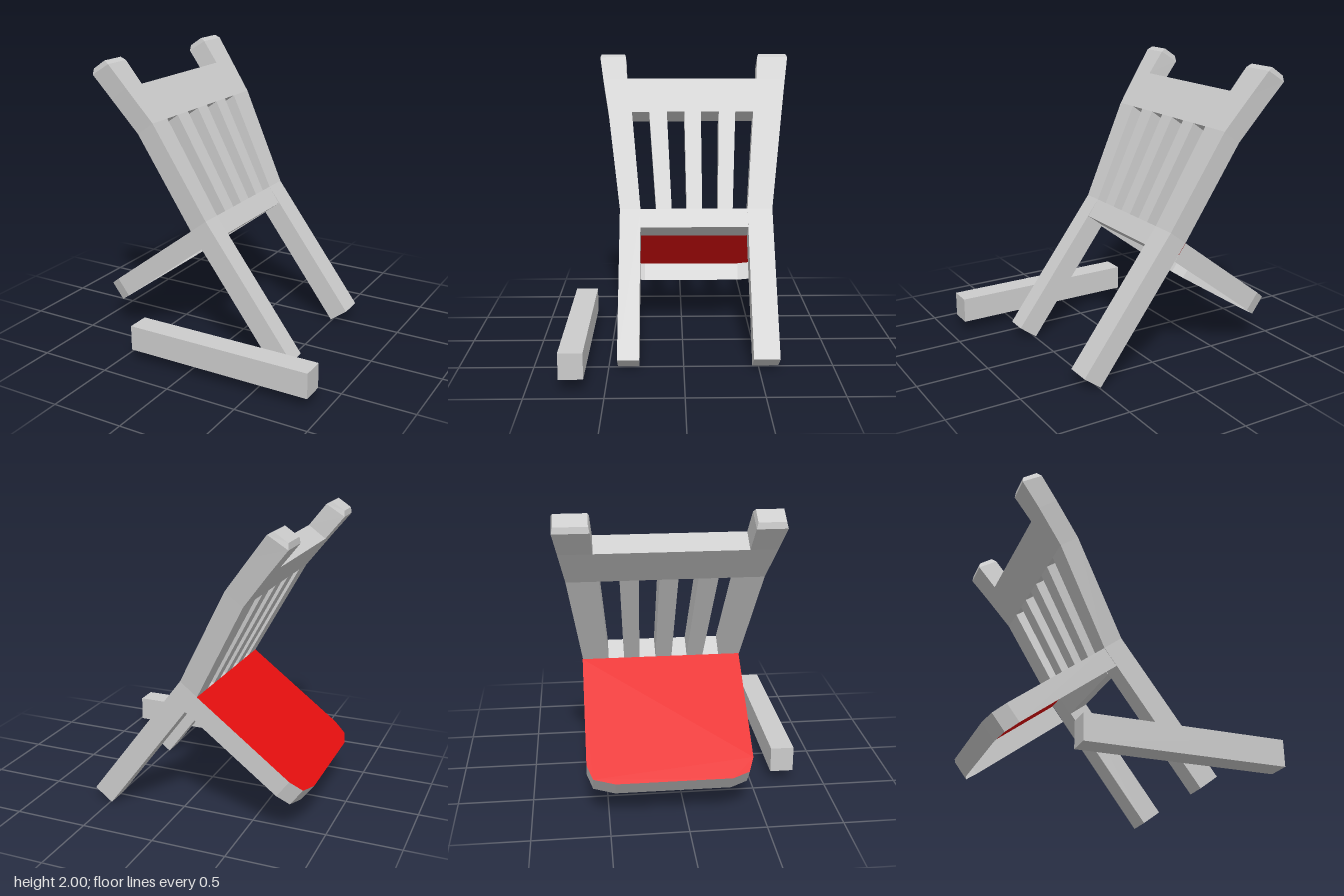
import * as THREE from 'three';

const grey = new THREE.MeshStandardMaterial({ color: 0xcccccc, flatShading: true });
const thinGrey = new THREE.MeshStandardMaterial({ color: 0xcccccc, flatShading: true, side: THREE.DoubleSide });
const red = new THREE.MeshStandardMaterial({ color: 0xe60f0f, side: THREE.DoubleSide });

// Side profile of the tilted back: front and back edge points [frontX, frontY, backX, backY]
const FOOT = [0.61, 0.09, 0.49, 0];
const BAR = [0.04, 0.845, -0.078, 0.755];
const SEAT = [-0.04, 0.96, -0.158, 0.87];
const BEND = [-0.38, 1.605, -0.5, 1.52];
const RAIL = [-0.55, 1.83, -0.67, 1.743];
const TIP = [-0.665, 1.98, -0.795, 1.9];
const CAP = [-0.7, 2.0, -0.79, 1.94];

function fromQuads(quads) {
  const pos = [];
  for (const [a, b, c, d] of quads) pos.push(...a, ...b, ...c, ...a, ...c, ...d);
  const g = new THREE.BufferGeometry();
  g.setAttribute('position', new THREE.Float32BufferAttribute(pos, 3));
  g.computeVertexNormals();
  return g;
}

// Four-sided beam through stations [profile, zMin, zMax], listed from low to high
function beam(name, stations) {
  const rings = stations.map(([[fx, fy, bx, by], z0, z1]) =>
    [[fx, fy, z1], [fx, fy, z0], [bx, by, z0], [bx, by, z1]]);
  const quads = [[...rings[0]].reverse(), rings[rings.length - 1]];
  for (let k = 0; k + 1 < rings.length; k++) {
    for (let i = 0; i < 4; i++) {
      const j = (i + 1) % 4;
      quads.push([rings[k][i], rings[k][j], rings[k + 1][j], rings[k + 1][i]]);
    }
  }
  const mesh = new THREE.Mesh(fromQuads(quads), grey);
  mesh.name = name;
  return mesh;
}

// Seat: thin panel with a skirt that is open underneath
function seat() {
  const outline = [[0, -0.638], [0.79, -0.638], [0.89, -0.6], [0.93, -0.46],
    [0.93, 0.29], [0.89, 0.4], [0.79, 0.437], [0, 0.437]];
  const group = new THREE.Group();
  group.name = 'seat';
  const panel = new THREE.Mesh(
    new THREE.ShapeGeometry(new THREE.Shape(outline.map(p => new THREE.Vector2(...p)))), red);
  panel.name = 'seatPanel';
  const depth = -0.141;
  const walls = outline.slice(1).map(([x, y], i) => {
    const [px, py] = outline[i];
    return [[px, py, depth], [x, y, depth], [x, y, 0], [px, py, 0]];
  });
  const skirt = new THREE.Mesh(fromQuads(walls), thinGrey);
  skirt.name = 'seatSkirt';
  group.add(panel, skirt);
  // local x runs to the seat's free end, local z is the seat's upward normal
  const along = new THREE.Vector3(-0.742, -0.56, 0).normalize();
  const across = new THREE.Vector3(0, 0, 1);
  const normal = along.clone().cross(across);
  group.quaternion.setFromRotationMatrix(new THREE.Matrix4().makeBasis(along, across, normal));
  group.position.set(SEAT[2], SEAT[3], 0);
  return group;
}

export function createModel() {
  const model = new THREE.Group();
  model.name = 'brokenChair';

  // Rear legs that continue as flared back posts
  model.add(beam('rearPostA', [
    [FOOT, 0.295, 0.44], [SEAT, 0.295, 0.44], [BEND, 0.36, 0.53],
    [RAIL, 0.4, 0.575], [TIP, 0.41, 0.602], [CAP, 0.42, 0.592]]));
  model.add(beam('rearPostB', [
    [FOOT, -0.635, -0.46], [SEAT, -0.635, -0.46], [BEND, -0.727, -0.52],
    [RAIL, -0.767, -0.555], [TIP, -0.795, -0.57], [CAP, -0.785, -0.58]]));

  // Rails between the posts
  model.add(beam('lowerRail', [[BAR, -0.46, 0.295], [SEAT, -0.46, 0.295]]));
  model.add(beam('topRail', [[BEND, -0.52, 0.36], [RAIL, -0.555, 0.4]]));

  // Slats widening toward the top: [bottom zMin, zMax, top zMin, zMax]
  [[-0.355, -0.25, -0.39, -0.27], [-0.14, -0.03, -0.14, -0.02], [0.075, 0.185, 0.107, 0.235]]
    .forEach(([a, b, c, d], i) => model.add(beam('backSlat' + (i + 1), [[SEAT, a, b], [BEND, c, d]])));

  model.add(seat());

  // Broken-off leg lying beside the chair
  const leg = new THREE.Mesh(new THREE.BoxGeometry(1.32, 0.175, 0.158), grey);
  leg.name = 'looseLeg';
  leg.position.set(0.237, 0.168, 0.714);
  model.add(leg);

  return model;
}
